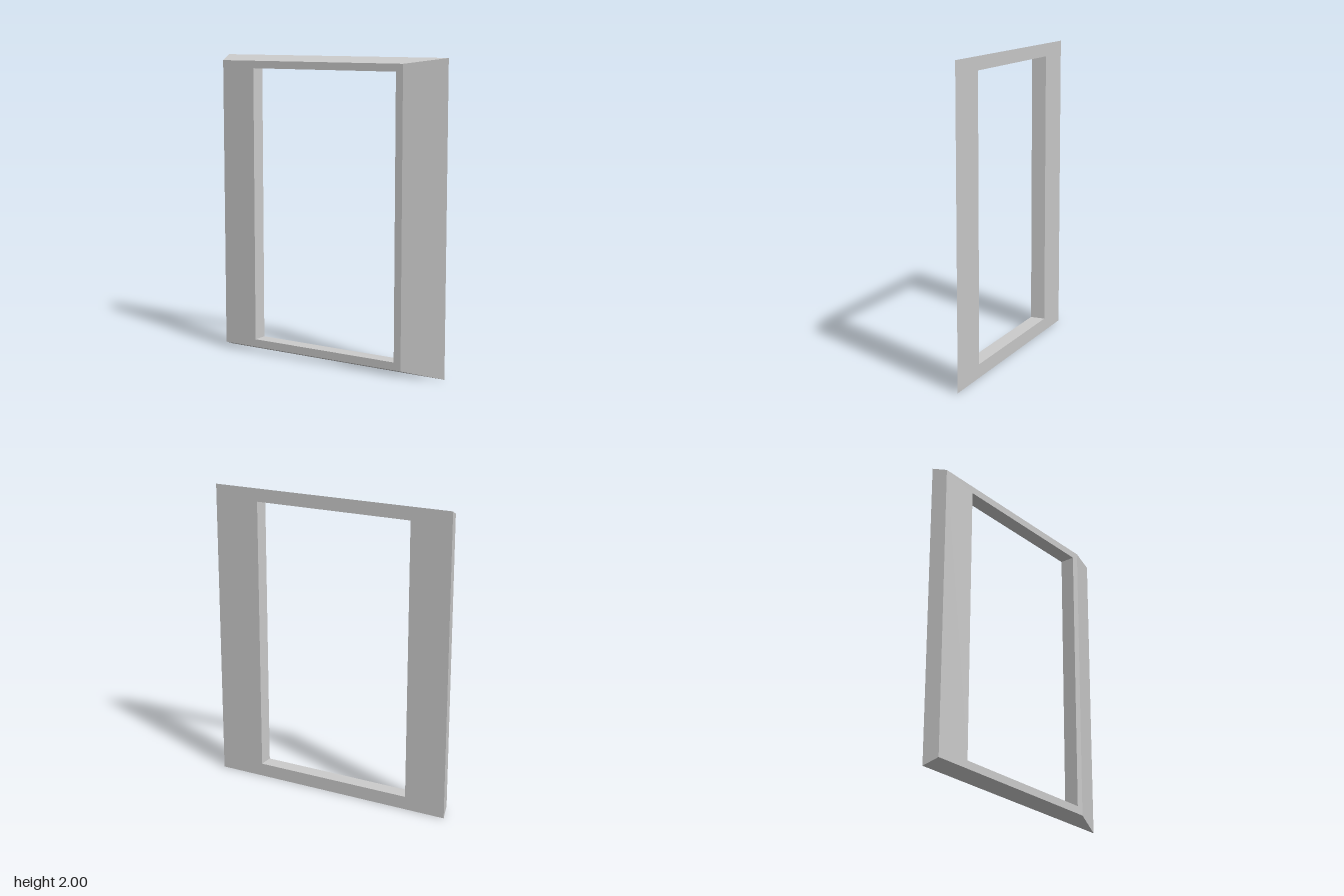
import * as THREE from 'three';

// Rectangle corners, counter-clockwise seen from the front
const rect = (x0, x1, y0, y1, z) => [[x0, y0, z], [x1, y0, z], [x1, y1, z], [x0, y1, z]];

export function createModel() {
  const group = new THREE.Group();
  group.name = 'bevelledFrame';

  // Rectangular cross-sections: outer back, outer front, opening front, opening back
  const loops = [
    rect(-0.835, 0.835, 0, 2, -0.05),
    rect(-0.81, 0.575, 0.037, 1.963, 0.05),
    rect(-0.56, 0.525, 0.088, 1.914, 0.05),
    rect(-0.56, 0.525, 0.088, 1.914, -0.05),
  ];

  // Join each loop to the next, closing the ring around the opening
  const positions = [];
  loops.forEach((from, i) => {
    const to = loops[(i + 1) % loops.length];
    for (let k = 0; k < 4; k++) {
      const n = (k + 1) % 4;
      const [a, b, c, d] = [from[k], from[n], to[n], to[k]];
      positions.push(...a, ...b, ...c, ...a, ...c, ...d);
    }
  });
  const geometry = new THREE.BufferGeometry();
  geometry.setAttribute('position', new THREE.Float32BufferAttribute(positions, 3));
  geometry.computeVertexNormals();

  const frame = new THREE.Mesh(
    geometry,
    new THREE.MeshStandardMaterial({ color: 0xcccccc, flatShading: true })
  );
  frame.name = 'frame';
  group.add(frame);
  return group;
}
